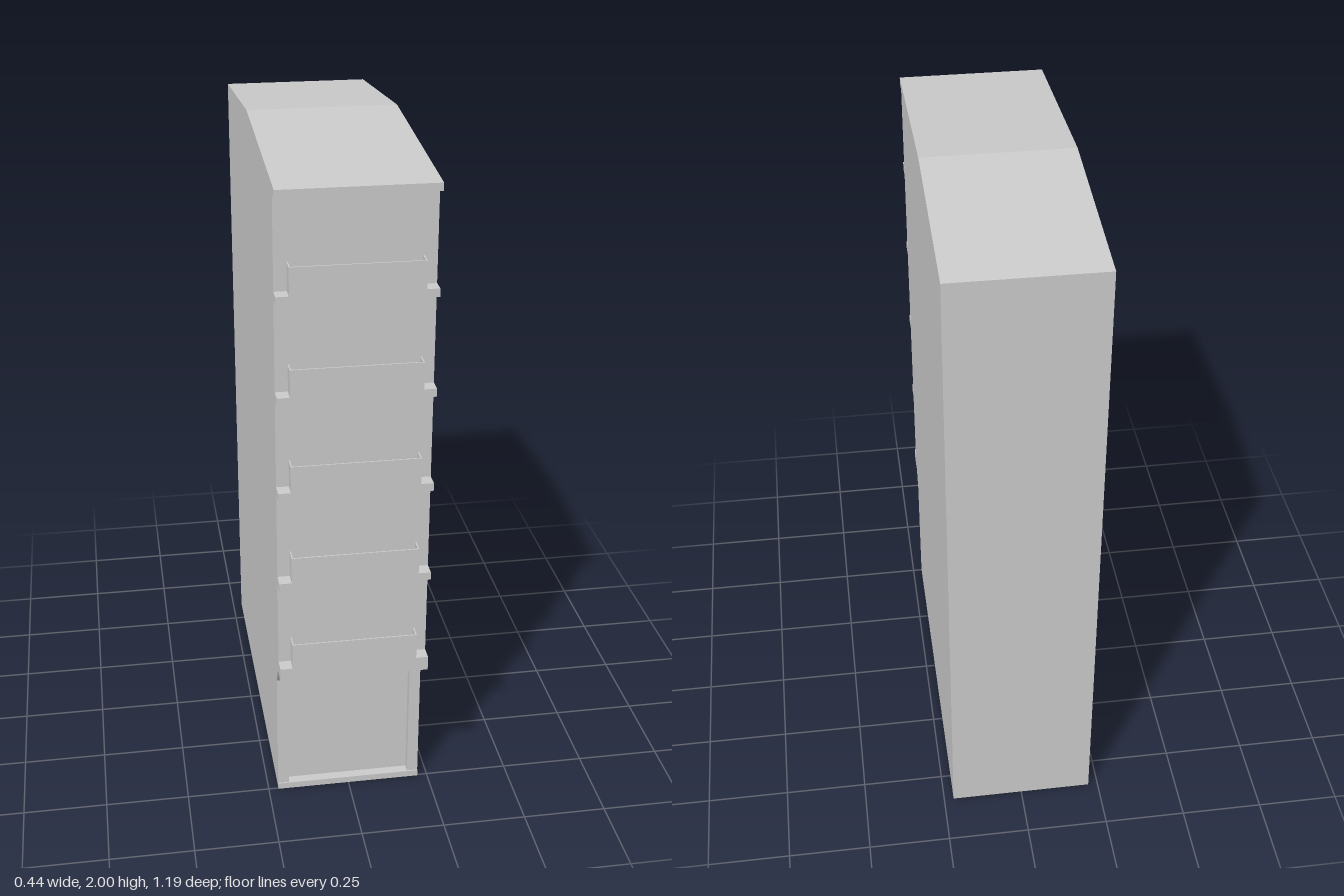
import * as THREE from 'three';

const W = 0.44, BACK = -0.595, WALL = 0.555, EDGE = 0.597;
const material = new THREE.MeshStandardMaterial({ color: 0xcccccc, flatShading: true });

// Box given by its min and max corners
function block(name, [x0, y0, z0], [x1, y1, z1]) {
  const geo = new THREE.BoxGeometry(x1 - x0, y1 - y0, z1 - z0);
  geo.translate((x0 + x1) / 2, (y0 + y1) / 2, (z0 + z1) / 2);
  const mesh = new THREE.Mesh(geo, material);
  mesh.name = name;
  return mesh;
}

// Side profile of [z, y] points extruded across the width
function extrudeAcross(name, points) {
  const shape = new THREE.Shape(points.map(([z, y]) => new THREE.Vector2(z, y)));
  const geo = new THREE.ExtrudeGeometry(shape, { depth: W, bevelEnabled: false });
  geo.rotateY(-Math.PI / 2).translate(W / 2, 0, 0);
  const mesh = new THREE.Mesh(geo, material);
  mesh.name = name;
  return mesh;
}

// Floor slab with a thin parapet on three sides, open at the top
function balcony(bottom, floor, top) {
  const group = new THREE.Group();
  group.name = 'balcony';
  const h = W / 2, p = 0.184, t = 0.004;
  group.add(
    block('balconySlab', [-h, bottom, WALL], [h, floor, EDGE]),
    block('parapetFront', [-p, floor, EDGE - t], [p, top, EDGE]),
    block('parapetRight', [-p, floor, WALL], [-p + t, top, EDGE - t]),
    block('parapetLeft', [p - t, floor, WALL], [p, top, EDGE - t])
  );
  return group;
}

export function createModel() {
  const model = new THREE.Group();
  model.name = 'narrowApartmentBuilding';
  const h = W / 2, door = 0.187, recess = 0.475;

  // Main volume with gently pitched roof, eave and overhanging upper floors
  model.add(extrudeAcross('body', [
    [BACK, 0.008], [recess, 0.008], [recess, 0.4], [0.5, 0.4], [0.535, 0.46],
    [WALL, 0.46], [WALL, 1.926], [EDGE, 1.926], [EDGE, 1.948],
    [-0.03, 2], [BACK, 1.948]
  ]));

  // Ground floor opening: jambs and sill around the recessed panel
  for (const s of [-1, 1]) {
    const xs = [s * door, s * h].sort((a, b) => a - b);
    model.add(block('groundFloorJamb', [xs[0], 0.008, recess], [xs[1], 0.4, 0.5]));
  }
  model.add(block('groundFloorSill', [-h, 0.008, recess], [h, 0.02, 0.504]));

  // Low rim around the underside
  const t = 0.002;
  model.add(
    block('rimFront', [-h, 0, 0.504 - t], [h, 0.008, 0.504]),
    block('rimBack', [-h, 0, BACK], [h, 0.008, BACK + t]),
    block('rimRight', [-h, 0, BACK + t], [-h + t, 0.008, 0.504 - t]),
    block('rimLeft', [h - t, 0, BACK + t], [h, 0.008, 0.504 - t])
  );

  // Balconies; the lowest slab is thicker
  for (let i = 0; i < 5; i++) {
    const floor = 0.504 + i * 0.289;
    model.add(balcony(i === 0 ? 0.46 : floor - 0.024, floor, floor + 0.08));
  }
  // Soffit joining the lowest slab to the sloped overhang
  model.add(block('lowestSoffit', [-h, 0.46, 0.535], [h, 0.48, WALL]));
  return model;
}
